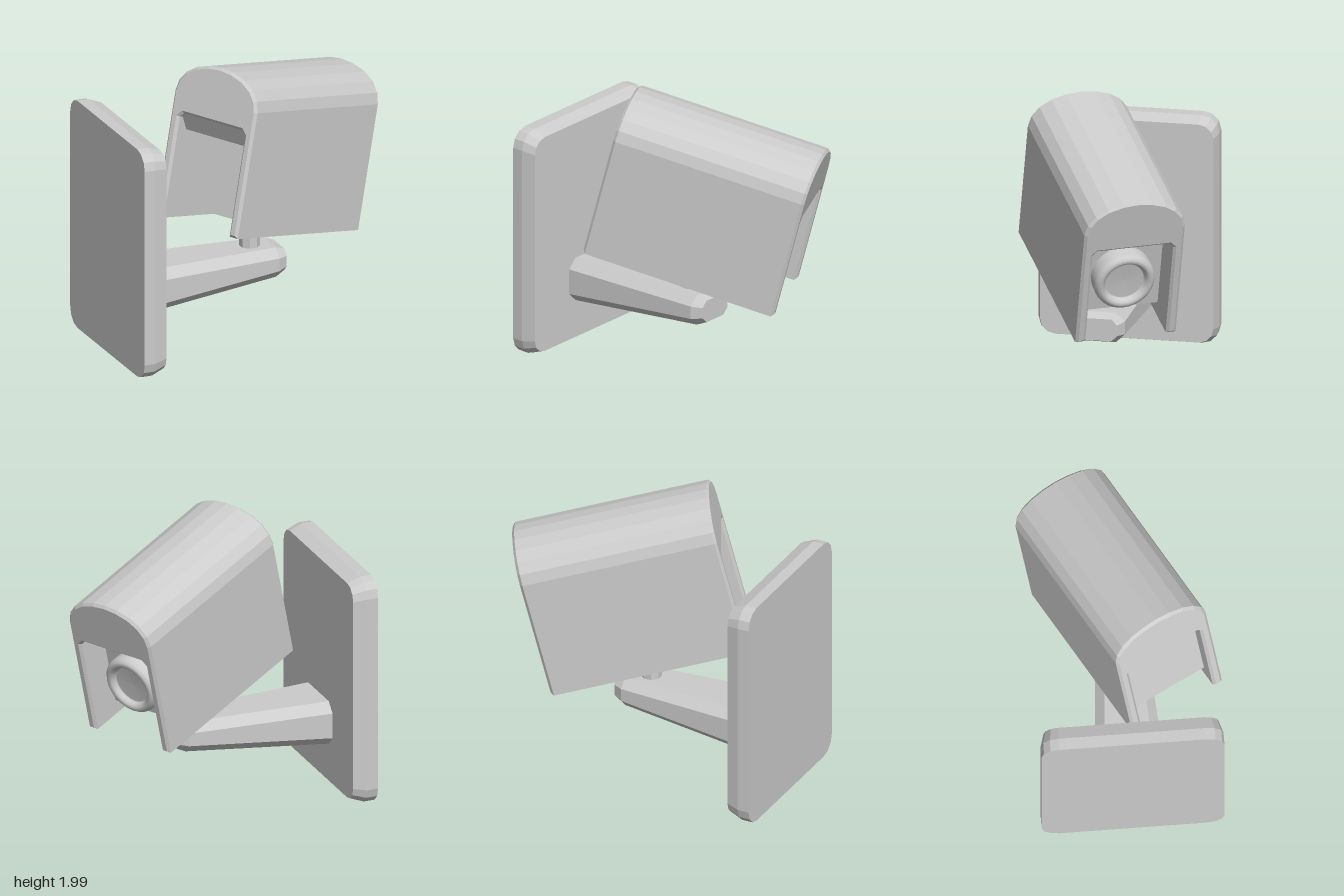
import * as THREE from 'three';

const material = new THREE.MeshStandardMaterial({ color: 0xcccccc, flatShading: true });
const smooth = new THREE.MeshStandardMaterial({ color: 0xcccccc });

function add(parent, name, geometry, mat = material) {
  const mesh = new THREE.Mesh(geometry, mat);
  mesh.name = name;
  parent.add(mesh);
  return mesh;
}

// Rounded rectangle in the y-z plane at a given x, counterclockwise seen from +x
function ring(x, y0, y1, z0, z1, r, steps) {
  const corners = [[y1 - r, z1 - r], [y0 + r, z1 - r], [y0 + r, z0 + r], [y1 - r, z0 + r]];
  const points = [];
  corners.forEach(([cy, cz], k) => {
    for (let i = 0; i <= steps; i++) {
      const a = (k + i / steps) * Math.PI / 2;
      points.push([x, cy + r * Math.cos(a), cz + r * Math.sin(a)]);
    }
  });
  return points;
}

// Closed solid through a row of matching rings
function loft(rings) {
  const n = rings[0].length, last = (rings.length - 1) * n;
  const index = [];
  for (let i = 0; i < rings.length - 1; i++) {
    for (let j = 0; j < n; j++) {
      const a = i * n + j, b = i * n + (j + 1) % n;
      index.push(a, b, a + n, b, b + n, a + n);
    }
  }
  for (let j = 1; j < n - 1; j++) {
    index.push(0, j + 1, j, last, last + j, last + j + 1);
  }
  const g = new THREE.BufferGeometry();
  g.setAttribute('position', new THREE.Float32BufferAttribute(rings.flat(2), 3));
  g.setIndex(index);
  const flat = g.toNonIndexed();
  flat.computeVertexNormals();
  return flat;
}

export function createModel() {
  const model = new THREE.Group();
  model.name = 'securityCamera';

  // Wall plate with a softened front rim
  add(model, 'wallPlate', loft([
    ring(-1, 0, 1.62, -0.62, 0.6, 0.12, 3),
    ring(-0.92, 0, 1.62, -0.62, 0.6, 0.12, 3),
    ring(-0.83, 0.035, 1.585, -0.595, 0.575, 0.1, 3),
  ]));

  // Tapered arm
  add(model, 'arm', loft([
    ring(-0.85, 0.3, 0.61, -0.25, 0.23, 0.065, 1),
    ring(0.18, 0.39, 0.6, -0.175, 0.155, 0.06, 1),
    ring(0.25, 0.42, 0.575, -0.135, 0.115, 0.04, 1),
  ]));

  // Short post carrying the head
  const post = add(model, 'post', new THREE.CylinderGeometry(0.066, 0.07, 0.38, 8));
  post.rotation.y = Math.PI / 8;
  post.position.set(0.035, 0.76, -0.01);

  // Camera head: local x runs forward, origin at the rear bottom centre
  const L = 1.35;
  const head = new THREE.Group();
  head.name = 'cameraHead';
  head.position.set(-0.512, 0.935, 0.33);
  head.rotation.set(0, 0.473, -0.246, 'YZX');
  model.add(head);

  // Arched hood, open underneath
  const arch = [[0.35, 0], [0.35, 0.86], [0.33, 0.935], [0.28, 1.0], [0.2, 1.05], [0.1, 1.08]];
  const outline = [
    ...arch, [0, 1.09],
    ...arch.map(([x, y]) => [-x, y]).reverse(),
    [-0.28, 0], [-0.28, 0.69], [-0.25, 0.72], [0.25, 0.72], [0.28, 0.69], [0.28, 0],
  ];
  const bevel = 0.018;
  const hood = new THREE.ExtrudeGeometry(
    new THREE.Shape(outline.map(([x, y]) => new THREE.Vector2(x, y))),
    {
      depth: L - 2 * bevel, bevelSegments: 1,
      bevelSize: bevel, bevelThickness: bevel, bevelOffset: -bevel,
    });
  hood.translate(0, 0, bevel);
  hood.rotateY(Math.PI / 2);
  add(head, 'hood', hood);

  // Body inside the hood, its top flaring out to both ends
  const side = [
    [0.11, 0.1], [L - 0.23, 0.1], [L - 0.23, 0.6],
    [L - 0.02, 0.73], [0.02, 0.73], [0.11, 0.6],
  ];
  const body = new THREE.ExtrudeGeometry(
    new THREE.Shape(side.map(([x, y]) => new THREE.Vector2(x, y))),
    { depth: 0.58, bevelEnabled: false });
  body.translate(0, 0, -0.29);
  add(head, 'body', body);

  // Round lens with a rolled rim and a sunken centre
  const profile = [
    [0.205, -0.02], [0.21, 0.09], [0.203, 0.118], [0.188, 0.135], [0.17, 0.14],
    [0.153, 0.133], [0.142, 0.115], [0.137, 0.1], [0.13, 0.096], [0, 0.092],
  ];
  const lens = new THREE.LatheGeometry(profile.map(([r, y]) => new THREE.Vector2(r, y)), 32);
  lens.rotateZ(-Math.PI / 2);
  add(head, 'lens', lens, smooth).position.set(L - 0.23, 0.375, 0);

  return model;
}
